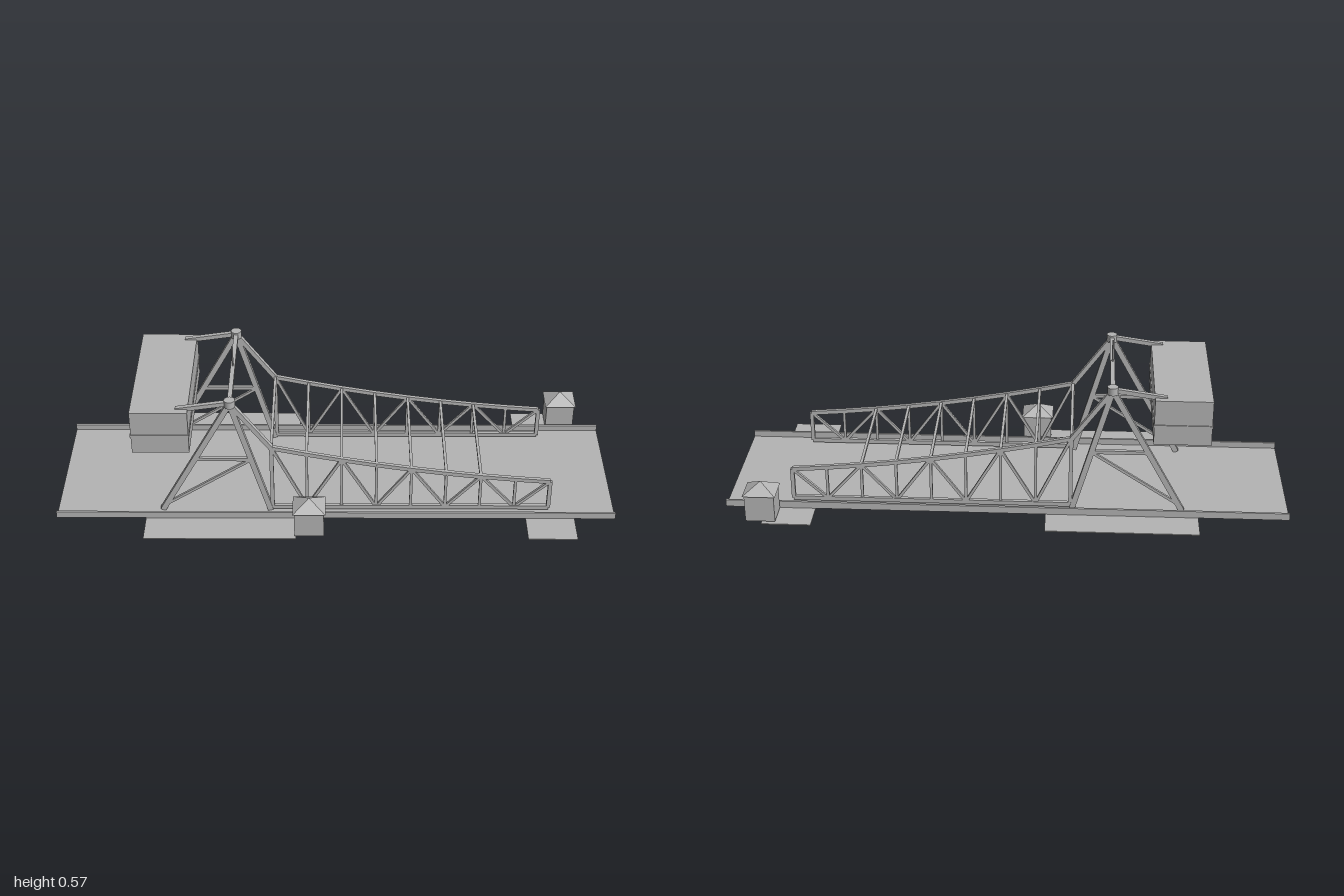
import * as THREE from 'three';

export function createModel() {
  const group = new THREE.Group();
  const grey = new THREE.MeshStandardMaterial({ color: 0xb4b4b4 });
  grey.name = 'paintedGrey';

  const add = (parent, name, geometry, x, y, z) => {
    const mesh = new THREE.Mesh(geometry, grey);
    mesh.name = name;
    mesh.position.set(x, y, z);
    parent.add(mesh);
    return mesh;
  };
  const box = (parent, name, w, h, d, x, y, z) =>
    add(parent, name, new THREE.BoxGeometry(w, h, d), x, y, z);
  // Square bar between two points of a side plane
  const bar = (parent, name, [x0, y0], [x1, y1], thick, depth = thick) => {
    const mesh = box(parent, name, Math.hypot(x1 - x0, y1 - y0), thick, depth, (x0 + x1) / 2, (y0 + y1) / 2, 0);
    mesh.rotation.z = Math.atan2(y1 - y0, x1 - x0);
  };

  // Roadway, curbs and the wider pier slabs below
  box(group, 'deck', 2, 0.004, 0.53, 0, 0.006, 0);
  for (const s of [1, -1]) box(group, 'curb', 2, 0.023, 0.008, 0, 0.0195, s * 0.263);
  box(group, 'largePierSlab', 0.54, 0.004, 0.756, -0.41, 0.002, 0);
  box(group, 'smallPierSlab', 0.175, 0.004, 0.756, 0.767, 0.002, 0);

  // Truss nodes along the tapering span
  const apex = [-0.366, 0.476];
  const panels = 8;
  const low = 0.022;
  const nodeX = (i) => -0.227 + (i * 0.99) / panels;
  const topY = (i) => {
    const u = 1 - i / panels;
    return 0.138 + 0.069 * u + 0.078 * u * u;
  };
  const top = (i) => [nodeX(i), topY(i)];
  const bottom = (i) => [nodeX(i), low];

  for (const s of [1, -1]) {
    const side = new THREE.Group();
    side.name = s > 0 ? 'frontSideFrame' : 'backSideFrame';
    side.position.z = s * 0.218;
    group.add(side);

    // A-frame tower
    bar(side, 'rearLeg', [-0.622, 0.01], apex, 0.02, 0.018);
    bar(side, 'frontLeg', [-0.234, 0.01], apex, 0.02, 0.018);
    bar(side, 'towerTie', [-0.495, 0.236], [-0.302, 0.236], 0.013);
    bar(side, 'towerBrace', [-0.612, 0.03], [-0.304, 0.23], 0.01);
    add(side, 'towerCap', new THREE.CylinderGeometry(0.019, 0.019, 0.027, 24), apex[0], 0.4765, 0);

    // Arms to the counterweight and to the span
    bar(side, 'counterweightArm', [-0.553, 0.45], [apex[0], 0.478], 0.016);
    bar(side, 'spanArm', apex, top(0), 0.016, 0.018);

    // Side truss
    bar(side, 'bottomChord', bottom(0), bottom(panels), 0.016, 0.013);
    for (let i = 0; i <= panels; i++) {
      const heavy = i === 0 || i === panels;
      bar(side, 'trussPost', bottom(i), top(i), heavy ? 0.014 : 0.01, heavy ? 0.013 : 0.01);
      if (i === panels) break;
      bar(side, 'topChord', top(i), top(i + 1), 0.015, 0.013);
      if (i % 2) bar(side, 'trussDiagonal', bottom(i), top(i + 1), 0.01);
      else bar(side, 'trussDiagonal', top(i), bottom(i + 1), 0.01);
    }
  }

  // Members crossing the roadway
  for (let i = 0; i < 7; i++) box(group, 'crossBar', 0.01, 0.01, 0.425, nodeX(i), topY(i), 0);
  box(group, 'towerCrossBeam', 0.016, 0.015, 0.41, apex[0], 0.4765, 0);
  add(group, 'mast', new THREE.CylinderGeometry(0.003, 0.003, 0.083, 10), apex[0], 0.524, 0);

  // Counterweight with a narrow band
  box(group, 'counterweight', 0.2, 0.168, 0.497, -0.611, 0.37, 0);
  box(group, 'counterweightBand', 0.206, 0.008, 0.504, -0.611, 0.358, 0);

  // Two keeper's huts with pyramid roofs
  for (const [x, s] of [[-0.094, 1], [0.857, -1]]) {
    const hut = new THREE.Group();
    hut.name = 'hut';
    hut.position.set(x, 0, s * 0.3245);
    group.add(hut);
    box(hut, 'hutWalls', 0.104, 0.1, 0.094, 0, 0.06, 0);
    const roof = new THREE.ConeGeometry(Math.SQRT1_2, 1, 4).toNonIndexed();
    roof.rotateY(Math.PI / 4);
    roof.scale(0.116, 0.036, 0.105);
    roof.computeVertexNormals();
    add(hut, 'hutRoof', roof, 0, 0.127, 0);
  }
  return group;
}
